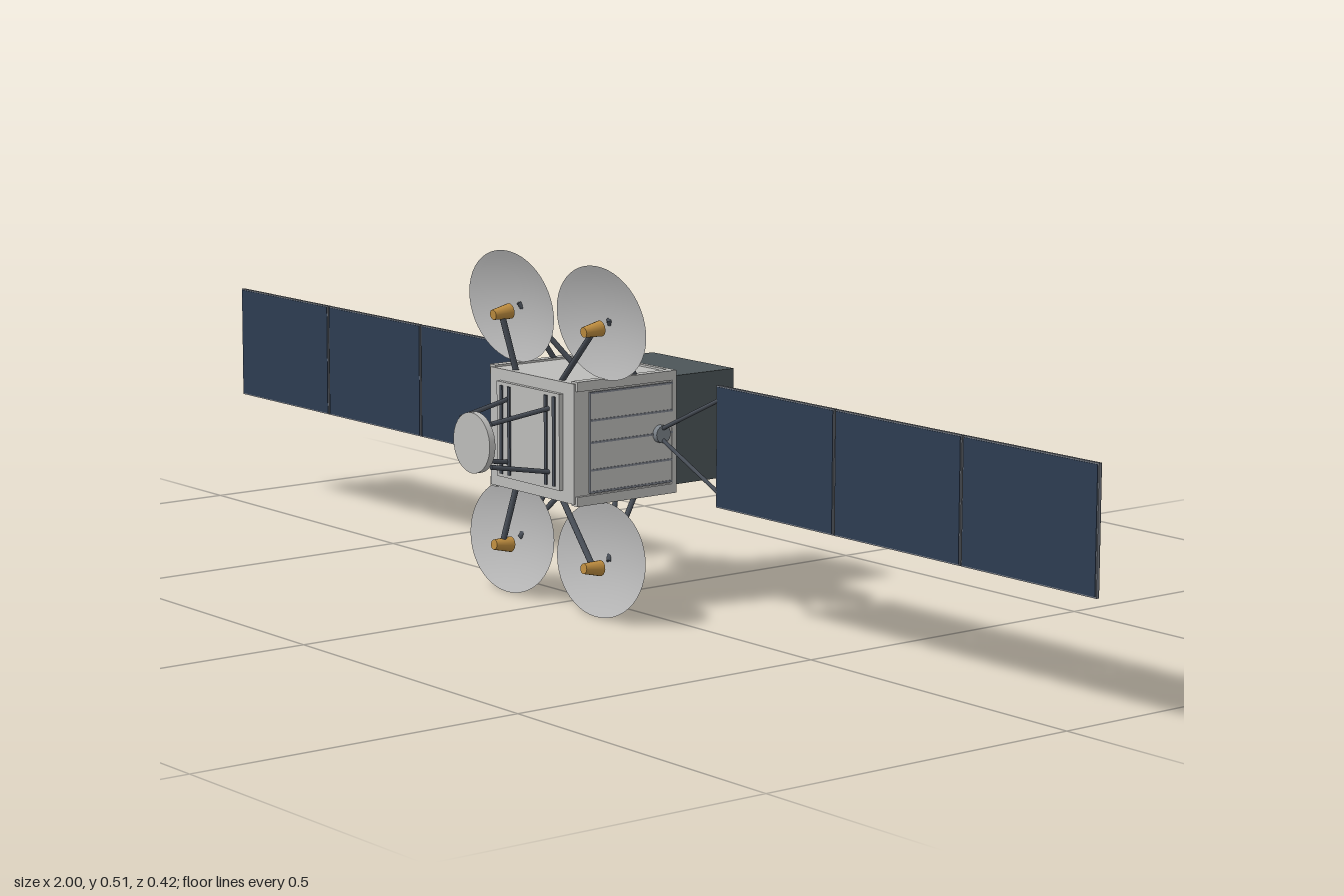
import * as THREE from 'three';

const CY = 0.2585; // height of the central axis
const mat = (name, color, side = THREE.FrontSide) => {
  const m = new THREE.MeshStandardMaterial({ color, side });
  m.name = name;
  return m;
};

export function createModel() {
  const root = new THREE.Group();
  root.name = 'satellite';
  const hull = mat('hull grey', 0xbcbcba);
  const dishMat = mat('dish grey', 0xbababa, THREE.DoubleSide);
  const dark = mat('dark module', 0x4c5558);
  const strutMat = mat('strut slate', 0x484e57);
  const metal = mat('ring metal', 0x7c838a);
  const gold = mat('feed gold', 0xbd8c3f);
  const cell = mat('solar cell navy', 0x2d3c51);
  const backing = mat('panel backing', 0x737982);
  const line = mat('black line', 0x25292d);
  const seam = mat('seam grey', 0x7d828b);

  const add = (name, geo, material, x = 0, y = 0, z = 0, parent = root) => {
    const mesh = new THREE.Mesh(geo, material);
    mesh.name = name;
    mesh.position.set(x, y, z);
    parent.add(mesh);
    return mesh;
  };
  const box = (name, w, h, d, material, x, y, z, parent) =>
    add(name, new THREE.BoxGeometry(w, h, d), material, x, y, z, parent);
  // Tapered rod between two points: r0 at a, r1 at b
  const rod = (name, a, b, r0, material, r1 = r0, sides = 10) => {
    const va = new THREE.Vector3(...a), vb = new THREE.Vector3(...b);
    const dir = vb.clone().sub(va), mid = va.clone().add(vb).multiplyScalar(0.5);
    const mesh = add(name, new THREE.CylinderGeometry(r1, r0, dir.length(), sides), material, mid.x, mid.y, mid.z);
    mesh.quaternion.setFromUnitVectors(new THREE.Vector3(0, 1, 0), dir.normalize());
    return mesh;
  };

  // Main body with rear flange, corner rails and front plate
  box('body', 0.2, 0.174, 0.18, hull, 0, CY, 0.013);
  box('rearFlange', 0.21, 0.18, 0.008, hull, 0, CY, -0.076);
  box('frontPlate', 0.15, 0.14, 0.008, hull, 0, CY, 0.106);
  for (const sx of [-1, 1]) {
    for (const sy of [-1, 1])
      box('cornerRail', 0.014, 0.014, 0.172, hull, sx * 0.098, CY + sy * 0.083, 0.014);
    // Side cover with seams
    box('sideCover', 0.008, 0.146, 0.15, hull, sx * 0.1, CY, 0.002);
    for (const y of [-0.072, -0.04, 0, 0.032, 0.072])
      box('sideSeam', 0.002, 0.003, 0.15, seam, sx * 0.1042, CY + y, 0.002);
    box('sideSeamEnd', 0.002, 0.146, 0.002, seam, sx * 0.1042, CY, 0.077);
    // Dark slots on the front
    for (const x of [0.044, 0.063])
      box('frontSlot', 0.006, 0.13, 0.003, strutMat, sx * x, CY, 0.1105);
  }

  // Rear module with nozzle ring
  box('rearModule', 0.19, 0.16, 0.116, dark, 0, CY, -0.137);
  const ringProfile = [[0.046, 0], [0.07, 0], [0.07, 0.015], [0.052, 0.015], [0.046, 0.01], [0.046, 0]]
    .map(p => new THREE.Vector2(...p));
  const ringGeo = new THREE.LatheGeometry(ringProfile, 40).toNonIndexed();
  ringGeo.computeVertexNormals();
  add('rearRing', ringGeo, metal, 0, CY, -0.195).rotation.x = -Math.PI / 2;
  add('rearRingCore', new THREE.CylinderGeometry(0.047, 0.047, 0.004, 32), strutMat, 0, CY, -0.197).rotation.x = Math.PI / 2;

  // Front tower: disc on four struts
  add('towerDisc', new THREE.CylinderGeometry(0.044, 0.044, 0.01, 36), hull, 0, CY, 0.205).rotation.x = Math.PI / 2;
  for (const sx of [-1, 1]) for (const sy of [-1, 1])
    rod('towerStrut', [sx * 0.05, CY + sy * 0.047, 0.104], [sx * 0.036, CY + sy * 0.031, 0.202], 0.0035, strutMat);

  // Four reflector dishes with rear brackets and feeds
  const profile = [];
  for (let i = 0; i <= 10; i++) profile.push(new THREE.Vector2(i / 10, 0.016 * (i / 10) ** 2));
  const dishGeo = new THREE.LatheGeometry(profile, 48);
  dishGeo.rotateX(Math.PI / 2);
  dishGeo.scale(0.103, 0.083, 1);
  for (const sx of [-1, 1]) for (const sy of [-1, 1]) {
    const dishY = CY + sy * 0.173;
    add('dish', dishGeo, dishMat, sx * 0.107, dishY, 0.044).rotation.x = sy * 0.11;
    for (const x of [0.095, 0.05])
      rod('dishBracket', [sx * x, CY + sy * 0.084, -0.013], [sx * 0.107, CY + sy * 0.175, 0.045], 0.004, strutMat);
    const fx = sx * 0.107 + 0.043;
    rod('feedArm', [sx < 0 ? -0.053 : 0.055, CY + sy * 0.084, 0.091], [fx, CY + sy * 0.167, 0.108], 0.0045, strutMat);
    rod('feedHorn', [fx, CY + sy * 0.172, 0.094], [fx, CY + sy * 0.169, 0.124], 0.0115, gold, 0.0075, 16);
  }

  // Solar wings
  const Z = -0.05, W = 0.253, H = 0.176;
  for (const sx of [-1, 1]) {
    add('wingHub', new THREE.CylinderGeometry(0.013, 0.013, 0.014, 20), metal, sx * 0.106, CY, Z).rotation.z = Math.PI / 2;
    for (const sy of [-1, 1])
      rod('wingYoke', [sx * 0.11, CY + sy * 0.008, Z], [sx * 0.238, CY + sy * 0.067, Z], 0.003, strutMat);
    for (let i = 0; i < 3; i++) {
      const px = sx * (0.3615 + i * 0.2557);
      box('panel', W, H, 0.004, backing, px, CY, Z);
      box('panelCells', W - 0.004, H - 0.004, 0.001, cell, px, CY, Z + 0.0024);
      // Dashed wiring and dark edges on the back
      for (const sy of [-1, 1]) {
        box('panelEdge', W, 0.003, 0.001, line, px, CY + sy * 0.0865, Z - 0.0024);
        for (let k = 0; k < 12; k++)
          box('panelDash', 0.011, 0.002, 0.001, line, px + (k - 5.5) * 0.0205, CY + sy * 0.066, Z - 0.0024);
      }
      for (const e of [-1, 1])
        box('panelSideEdge', 0.004, H, 0.001, line, px + e * (W / 2 - 0.002), CY, Z - 0.0024);
    }
  }
  return root;
}
